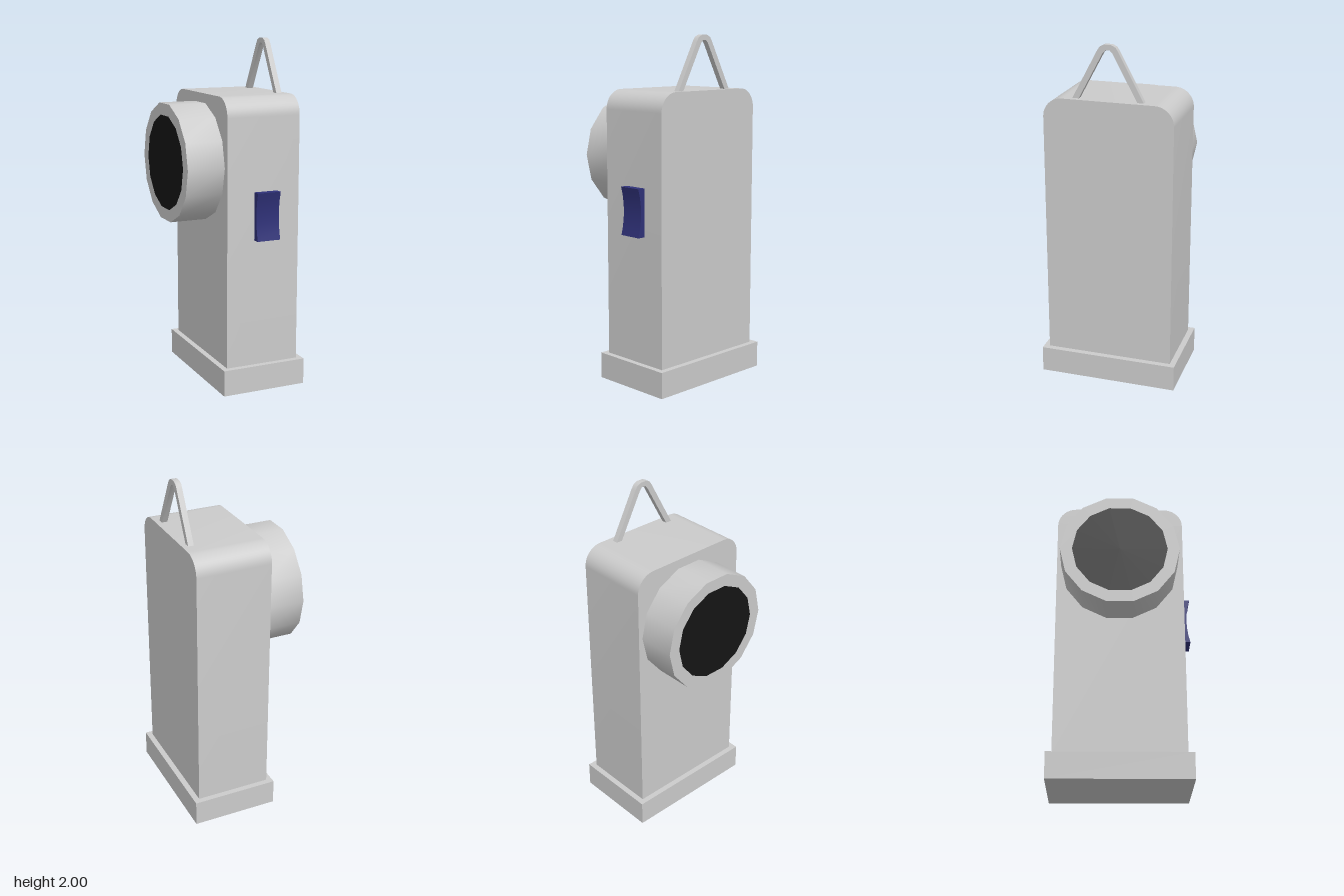
import * as THREE from 'three';
import { toCreasedNormals } from 'three/addons/utils/BufferGeometryUtils.js';

const grey = new THREE.MeshStandardMaterial({ color: 0xcccccc });
const blue = new THREE.MeshStandardMaterial({ color: 0x2f3178 });
const black = new THREE.MeshStandardMaterial({ color: 0x151515 });

// Extrudes a (z, y) outline along x from x0 to x1, smoothing gentle bends
function extrudeX(shape, x0, x1, curveSegments = 6) {
  const geo = new THREE.ExtrudeGeometry(shape, { depth: x1 - x0, bevelEnabled: false, curveSegments });
  geo.rotateY(-Math.PI / 2);
  geo.translate(x1, 0, 0);
  return toCreasedNormals(geo, 0.6);
}

function polygon(radius, sides) {
  return Array.from({ length: sides }, (_, i) => {
    const a = (i / sides) * Math.PI * 2;
    return new THREE.Vector2(Math.cos(a) * radius, Math.sin(a) * radius);
  });
}

export function createModel() {
  const group = new THREE.Group();
  const add = (name, geometry, material = grey) => {
    const mesh = new THREE.Mesh(geometry, material);
    mesh.name = name;
    group.add(mesh);
    return mesh;
  };

  // Base plate
  add('base', new THREE.BoxGeometry(0.512, 0.152, 0.815)).position.set(0.093, 0.076, -0.006);

  // Case with rounded front and back shoulders
  const back = -0.38, front = 0.368, top = 1.695, r = 0.11;
  const body = new THREE.Shape();
  body.moveTo(back, 0.15);
  body.lineTo(front, 0.15);
  body.lineTo(front, top - r);
  body.absarc(front - r, top - r, r, 0, Math.PI / 2, false);
  body.lineTo(back + r, top);
  body.absarc(back + r, top - r, r, Math.PI / 2, Math.PI, false);
  add('body', extrudeX(body, -0.13, 0.315));

  // Lamp head: a 14-sided ring with a dark lens flush in it
  const sides = 14, lensRadius = 0.275;
  const ring = new THREE.Shape(polygon(0.345, sides));
  ring.holes.push(new THREE.Path(polygon(lensRadius, sides)));
  add('lampHousing', extrudeX(ring, -0.35, -0.13)).position.set(0, 1.304, -0.01);
  const lens = new THREE.CircleGeometry(lensRadius, sides).rotateY(-Math.PI / 2);
  add('lens', lens, black).position.set(-0.35, 1.304, -0.01);

  // Switch with a hollowed front face
  const button = new THREE.Shape();
  button.moveTo(0.36, 0.89);
  button.lineTo(0.413, 0.89);
  button.quadraticCurveTo(0.373, 1.028, 0.413, 1.165);
  button.lineTo(0.36, 1.165);
  add('switch', extrudeX(button, 0.037, 0.178), blue);

  // Hanging loop
  const half = [[0.207, 1.69], [0.06, 1.965], [0.045, 1.988], [0.02, 2]];
  const inner = [[0.012, 1.971], [0.027, 1.955], [0.17, 1.69]];
  const mirror = (pts) => pts.map(([z, y]) => [-z, y]).reverse();
  const outline = [...half, ...mirror(half), ...mirror(inner), ...inner];
  // mirrored inner side runs from the far foot up to the apex, then down again
  const loop = new THREE.Shape(outline.map(([z, y]) => new THREE.Vector2(z, y)));
  add('hangingLoop', extrudeX(loop, 0.25, 0.283)).position.z = 0.002;

  return group;
}
